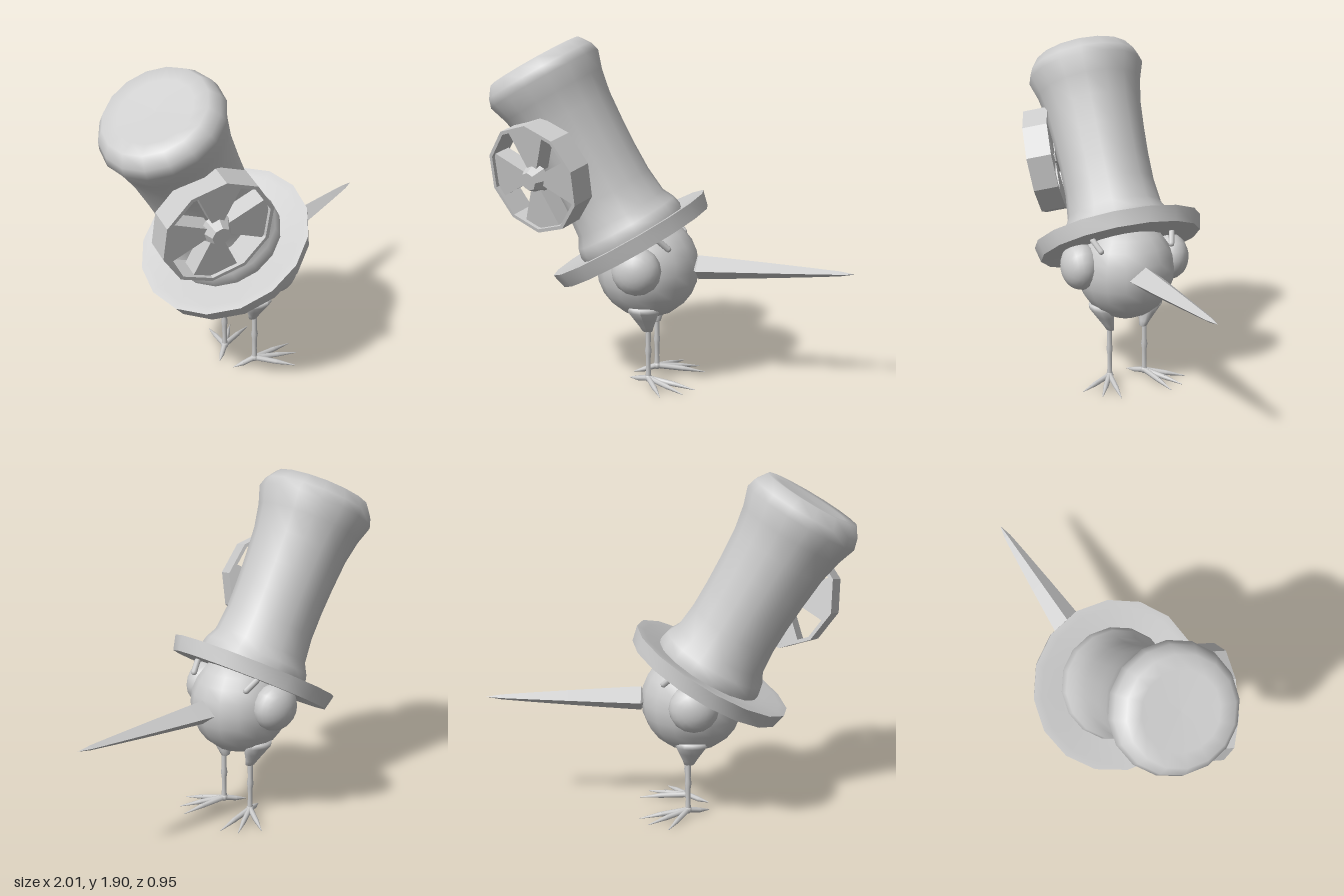
import * as THREE from 'three';
import { toCreasedNormals } from 'three/addons/utils/BufferGeometryUtils.js';

const smooth = new THREE.MeshStandardMaterial({ color: 0xcccccc });
const flat = new THREE.MeshStandardMaterial({ color: 0xcccccc, flatShading: true });
const flatDouble = new THREE.MeshStandardMaterial({ color: 0xcccccc, flatShading: true, side: THREE.DoubleSide });
const V = (x, y, z) => new THREE.Vector3(x, y, z);
const UP = V(0, 1, 0);

function add(parent, name, geometry, material = smooth) {
  const mesh = new THREE.Mesh(geometry, material);
  mesh.name = name;
  parent.add(mesh);
  return mesh;
}

function lathe(points, sides) {
  return new THREE.LatheGeometry(points.map(([r, y]) => new THREE.Vector2(r, y)), sides);
}

// Tapered rod between two points
function rod(parent, name, a, b, ra, rb, sides = 8) {
  const mesh = add(parent, name, new THREE.CylinderGeometry(rb, ra, a.distanceTo(b), sides));
  mesh.position.copy(a).lerp(b, 0.5);
  mesh.quaternion.setFromUnitVectors(UP, b.clone().sub(a).normalize());
  return mesh;
}

function makeHat() {
  const hat = new THREE.Group();
  hat.name = 'hat';
  hat.position.set(-0.22, 0.8, 0);
  hat.rotation.z = Math.PI / 6;
  const brim = [[0, -0.03], [0.3, -0.035], [0.455, -0.04], [0.475, 0.045], [0.43, 0.045], [0.33, 0.025], [0, 0.03]];
  add(hat, 'brim', toCreasedNormals(lathe(brim, 16), 0.7));
  const crown = [[0.3, 0], [0.312, 0.05], [0.3, 0.1], [0.268, 0.16], [0.254, 0.3], [0.255, 0.45],
    [0.262, 0.6], [0.275, 0.77], [0.3, 0.9], [0.333, 1.0], [0.318, 1.05], [0.275, 1.11], [0.2, 1.105], [0, 1.1]];
  add(hat, 'crown', lathe(crown, 16)).position.x = 0.015;
  return hat;
}

// Open fan wheel: thin rim, four broad blades and a hub
function makeWheel() {
  const wheel = new THREE.Group();
  wheel.name = 'wheel';
  wheel.position.set(-0.66, 1.19, 0.265);
  wheel.quaternion.setFromUnitVectors(V(0, 0, 1), V(-0.42, -0.2, 0.885).normalize());
  const rim = lathe([[0.285, -0.07], [0.305, -0.07], [0.305, 0.07], [0.285, 0.07], [0.285, -0.07]], 10);
  add(wheel, 'wheelRim', rim.rotateX(Math.PI / 2), flatDouble);
  for (let i = 0; i < 4; i++) {
    const shape = new THREE.Shape();
    shape.moveTo(0.03, -0.02);
    for (const t of [-0.45, 0, 0.45]) shape.lineTo(0.287 * Math.cos(t), 0.287 * Math.sin(t));
    shape.lineTo(0.03, 0.02);
    const blade = add(wheel, 'wheelBlade', new THREE.ExtrudeGeometry(shape, { depth: 0.1, bevelEnabled: false }), flat);
    blade.position.z = -0.05;
    blade.rotation.z = i * Math.PI / 2 + 0.08;
  }
  const hub = add(wheel, 'wheelHub', new THREE.CylinderGeometry(0.05, 0.085, 0.07, 8).rotateX(Math.PI / 2), flat);
  hub.position.z = 0.06;
  return wheel;
}

// Eye, brow, leg and foot of one side; s is the sign of z
function makeSide(s) {
  const side = new THREE.Group();
  side.name = s > 0 ? 'nearSide' : 'farSide';

  const eye = add(side, 'eye', new THREE.SphereGeometry(1, 16, 12).rotateX(Math.PI / 2));
  eye.scale.set(0.135, 0.133, 0.105);
  eye.position.set(-0.135, 0.695, 0.27 * s);

  const brow = add(side, 'eyebrow', new THREE.CapsuleGeometry(0.017, 0.075, 4, 8));
  brow.position.set(0, 0.835, 0.222 * s);
  brow.quaternion.setFromUnitVectors(UP, V(-0.07, 0.07, 0.035 * s).normalize());

  // Thigh narrows down and inward to the shin
  const thigh = add(side, 'thigh', lathe([[0, -0.01], [0.028, 0], [0.04, 0.03], [0.065, 0.08], [0.088, 0.125], [0.08, 0.15], [0, 0.165]], 12));
  const p = thigh.geometry.attributes.position;
  for (let i = 0; i < p.count; i++) {
    const y = p.getY(i);
    p.setXYZ(i, p.getX(i) - 0.1 * y, y, p.getZ(i) * 0.75 + 0.37 * y * s);
  }
  thigh.geometry.computeVertexNormals();
  thigh.position.set(-0.115, 0.31, 0.1 * s);

  const shin = add(side, 'shin', lathe([[0.017, 0.03], [0.013, 0.1], [0.014, 0.17], [0.019, 0.2], [0.014, 0.23], [0.015, 0.33]], 8));
  shin.position.set(-0.11, 0, 0.107 * s);

  const ankle = V(-0.11, 0.042, 0.107 * s);
  const joint = add(side, 'ankle', new THREE.SphereGeometry(0.022, 8, 6));
  joint.position.copy(ankle);
  for (const [x, y, z] of [[0.16, 0.008, 0.15], [0.11, 0.01, 0.24], [0, 0.012, 0.31], [-0.23, 0.018, 0.05]]) {
    const tip = V(x, y, z * s);
    const middle = ankle.clone().lerp(tip, 0.55).setY(0.026);
    rod(side, 'toe', ankle, middle, 0.016, 0.014);
    rod(side, 'toeTip', middle, tip, 0.014, 0.002);
  }
  return side;
}

export function createModel() {
  const bird = new THREE.Group();
  bird.name = 'bird';

  const body = add(bird, 'body', new THREE.SphereGeometry(1, 16, 12));
  body.scale.set(0.285, 0.285, 0.275);
  body.position.set(-0.135, 0.655, 0);

  // Long four-sided beak, wider than tall
  const beak = add(bird, 'beak', lathe([[0, 0], [0.068, 0.05], [0.062, 0.15], [0.042, 0.45], [0.026, 0.67], [0.014, 0.82], [0, 0.9]], 4), flat);
  beak.geometry.rotateZ(-Math.PI / 2);
  const p = beak.geometry.attributes.position;
  for (let i = 0; i < p.count; i++) p.setXYZ(i, p.getX(i), p.getY(i) + 0.01 * p.getX(i), p.getZ(i) * 1.4);
  beak.position.set(0.1, 0.662, 0);

  bird.add(makeHat(), makeWheel(), makeSide(1), makeSide(-1));
  return bird;
}
